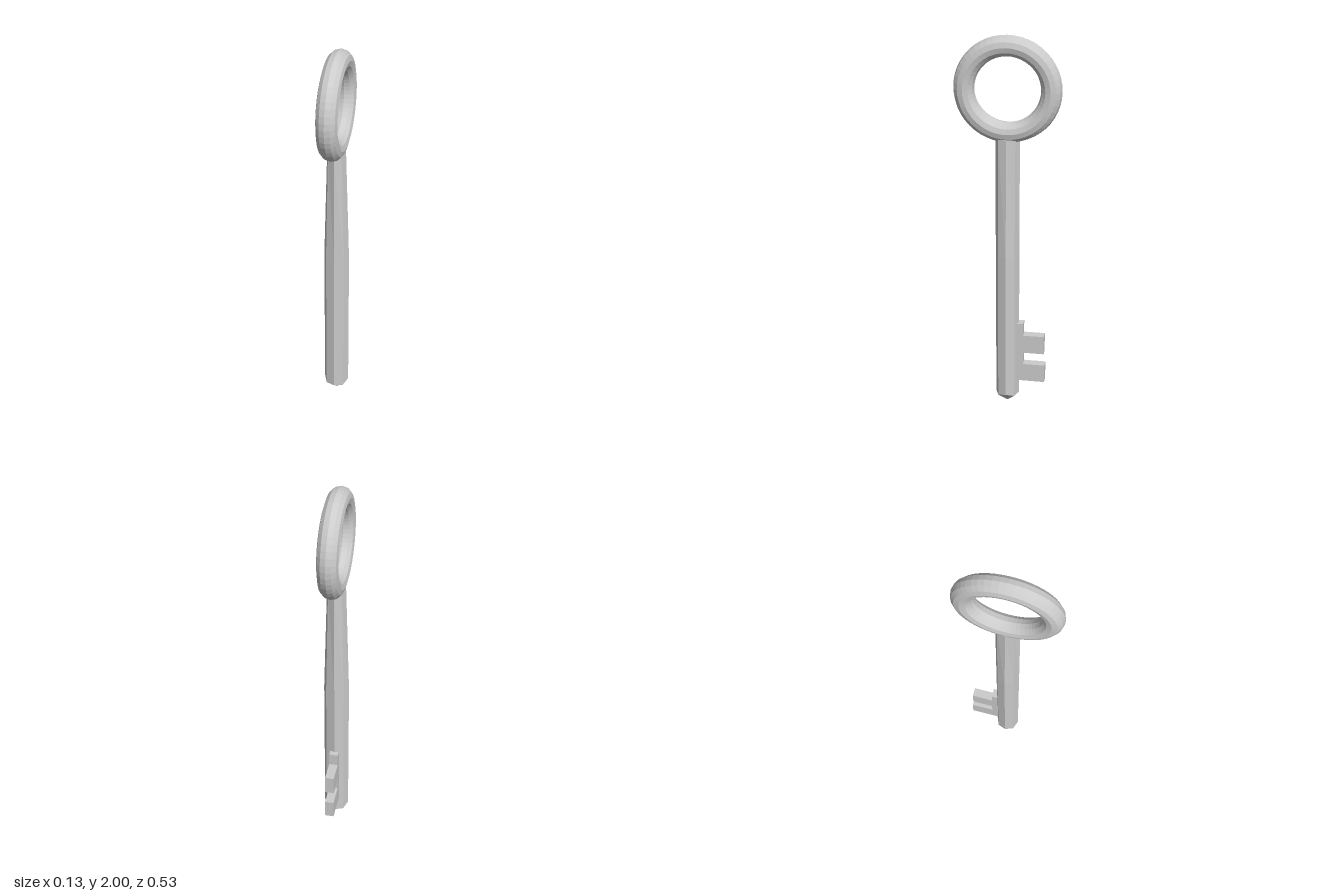
import * as THREE from 'three';

export function createModel() {
  const key = new THREE.Group();
  key.name = 'key';
  const material = new THREE.MeshStandardMaterial({ color: 0xcccccc, flatShading: true });
  const add = (name, geometry) => {
    const mesh = new THREE.Mesh(geometry, material);
    mesh.name = name;
    key.add(mesh);
    return mesh;
  };

  // Ring handle, lying in the y-z plane
  const ring = add('ringHandle', new THREE.TorusGeometry(0.2145, 0.052, 12, 48));
  ring.rotation.y = Math.PI / 2;
  ring.position.y = 1.7335;

  // Eight-sided shaft with a pointed end
  const profile = [[0, 0], [0.065, 0.053], [0.065, 0.87], [0.065, 1.49], [0, 1.49]];
  const shaft = new THREE.LatheGeometry(profile.map(([r, y]) => new THREE.Vector2(r, y)), 8);
  const p = shaft.attributes.position;
  for (let i = 0; i < p.count; i++) {
    const x = p.getX(i), y = p.getY(i), z = p.getZ(i);
    // narrow the sides towards the ring
    p.setX(i, x * (y > 1 ? 0.72 : 1));
    p.setZ(i, z * 0.94);
    // raise the side corners of the point
    if (y < 0.1 && Math.abs(x) > 0.06) p.setY(i, 0.067);
  }
  shaft.computeVertexNormals();
  add('shaft', shaft);

  // Toothed bit on the back of the shaft: outline as (depth behind centre, height)
  const outline = [
    [0.03, 0.14], [0.2, 0.14], [0.2, 0.24], [0.085, 0.24], [0.085, 0.308],
    [0.195, 0.308], [0.195, 0.41], [0.085, 0.41], [0.085, 0.478], [0.03, 0.478],
  ];
  const thickness = 0.046;
  const bit = new THREE.ExtrudeGeometry(
    new THREE.Shape(outline.map(([d, y]) => new THREE.Vector2(d, y))),
    { depth: thickness, bevelEnabled: false },
  );
  bit.translate(0, 0, -thickness / 2);
  bit.rotateY(Math.PI / 2);
  add('toothedBit', bit);

  return key;
}
